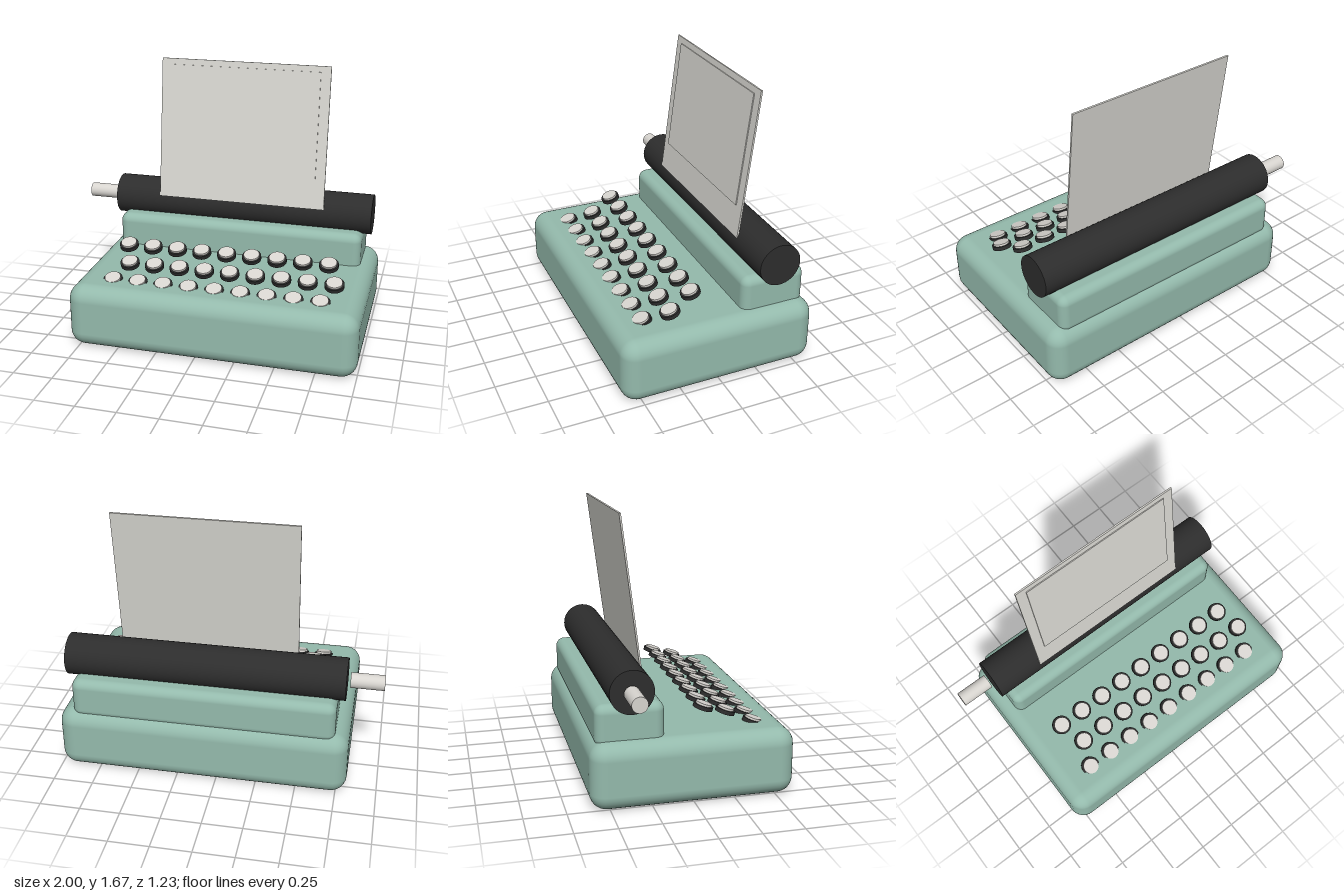
import * as THREE from 'three';
import { RoundedBoxGeometry } from 'three/addons/geometries/RoundedBoxGeometry.js';

const material = (name, color) => {
  const m = new THREE.MeshStandardMaterial({ color });
  m.name = name;
  return m;
};

export function createModel() {
  const shellGreen = material('shell green', 0x94baac);
  const black = material('rubber black', 0x2d2d2d);
  const paperWhite = material('paper white', 0xdad9d3);
  const capGrey = material('key cap grey', 0xd8d5d0);

  const model = new THREE.Group();
  model.name = 'typewriter';

  const add = (name, geometry, mat, x, y, z, parent = model) => {
    const mesh = new THREE.Mesh(geometry, mat);
    mesh.name = name;
    mesh.position.set(x, y, z);
    parent.add(mesh);
    return mesh;
  };

  // Rounded housing and the raised carriage bed
  add('body', new RoundedBoxGeometry(1.815, 0.41, 1.23, 4, 0.1), shellGreen, 0.0925, 0.205, 0);
  add('carriageBed', new RoundedBoxGeometry(1.64, 0.26, 0.41, 4, 0.055), shellGreen, 0.09, 0.49, -0.37);

  // Platen roller with its knob on the right end
  const rod = (r, length) => new THREE.CylinderGeometry(r, r, length, 40).rotateZ(Math.PI / 2);
  add('platen', rod(0.131, 1.735), black, 0.0925, 0.704, -0.37);
  add('platenKnob', rod(0.047, 0.205), capGrey, -0.8975, 0.704, -0.375);

  // Sheet leaning back, with a thin page panel on its face
  const sheet = new THREE.Group();
  sheet.name = 'sheet';
  sheet.position.set(0.0925, 1.21, -0.309);
  sheet.rotation.x = -0.125;
  model.add(sheet);
  add('paper', new THREE.BoxGeometry(1.115, 0.926, 0.011), paperWhite, 0, 0, 0, sheet);
  add('pagePanel', new THREE.BoxGeometry(0.985, 0.7, 0.006), paperWhite, 0, 0.074, 0.0085, sheet);

  // Three rising rows of tilted round keys; the middle row is staggered
  const keyBase = new THREE.CylinderGeometry(0.061, 0.061, 0.025, 28);
  const keyCap = new THREE.CylinderGeometry(0.05, 0.05, 0.015, 28);
  const rows = [
    { x: -0.568, y: 0.518, z: 0.103 },
    { x: -0.508, y: 0.46, z: 0.261 },
    { x: -0.568, y: 0.403, z: 0.414 },
  ];
  for (const row of rows) {
    for (let i = 0; i < 9; i++) {
      const key = new THREE.Group();
      key.name = 'key';
      key.position.set(row.x + i * 0.1645, row.y, row.z);
      key.rotation.x = 0.32;
      add('keyBase', keyBase, black, 0, 0, 0, key);
      add('keyCap', keyCap, capGrey, 0, 0.018, 0, key);
      model.add(key);
    }
  }
  return model;
}
